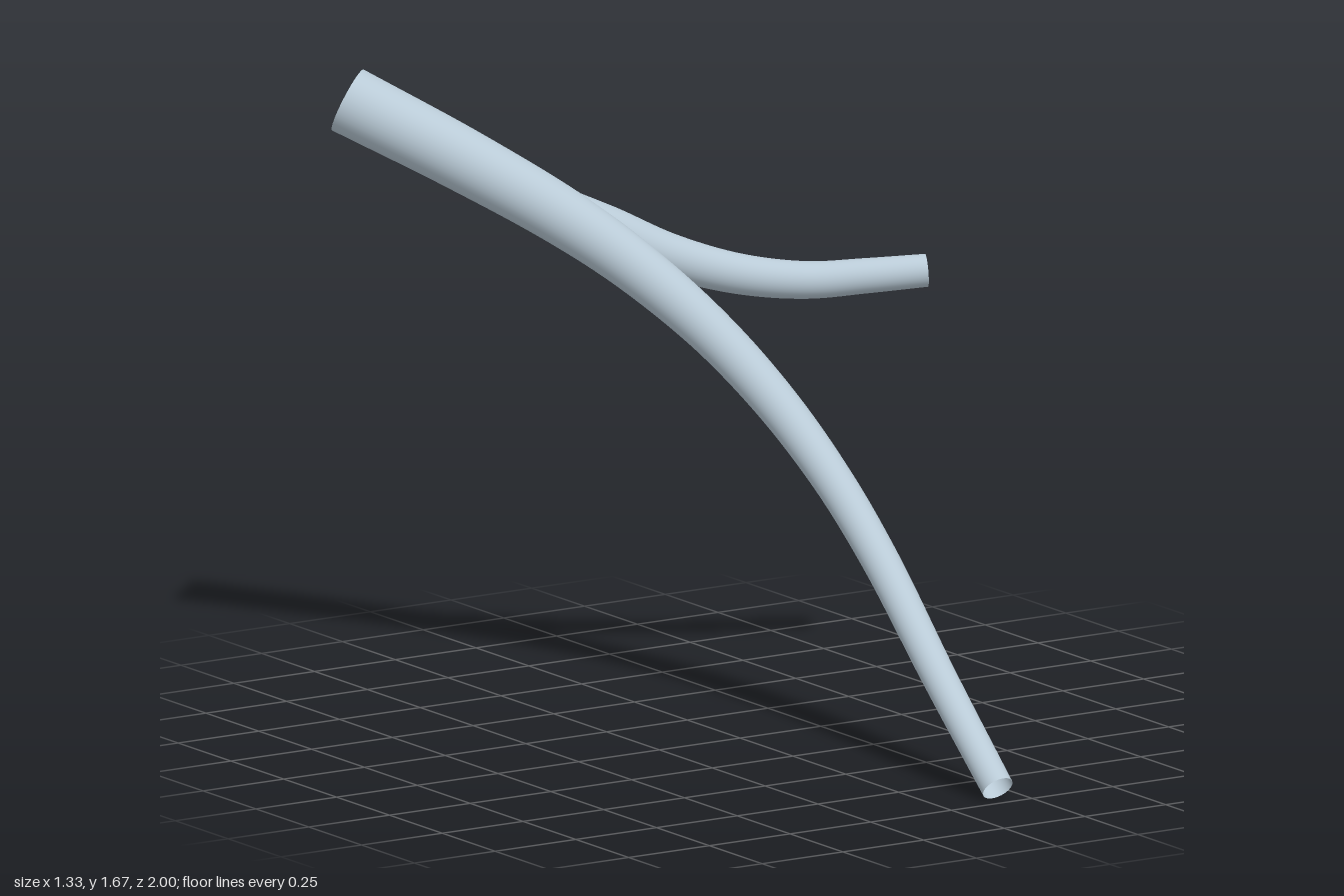
import * as THREE from 'three';

const paleBlueGrey = new THREE.MeshStandardMaterial({ color: 0xb9cad6, side: THREE.DoubleSide });
paleBlueGrey.name = 'paleBlueGrey';

// Open tube through rows of [x, y, z, radius], with the radius blended along the path
function taperedTube(name, rows, segments, sides) {
  const path = new THREE.CatmullRomCurve3(rows.map(([x, y, z]) => new THREE.Vector3(x, y, z)));
  const geometry = new THREE.TubeGeometry(path, segments, 1, sides, false);
  const position = geometry.attributes.position;
  const v = new THREE.Vector3();
  for (let i = 0; i <= segments; i++) {
    const u = i / segments;
    const centre = path.getPointAt(u);
    const t = path.getUtoTmapping(u) * (rows.length - 1);
    const k = Math.min(Math.floor(t), rows.length - 2);
    const radius = THREE.MathUtils.lerp(rows[k][3], rows[k + 1][3], t - k);
    for (let j = 0; j <= sides; j++) {
      const n = i * (sides + 1) + j;
      v.fromBufferAttribute(position, n).sub(centre).multiplyScalar(radius).add(centre);
      position.setXYZ(n, v.x, v.y, v.z);
    }
  }
  const mesh = new THREE.Mesh(geometry, paleBlueGrey);
  mesh.name = name;
  return mesh;
}

export function createModel() {
  const model = new THREE.Group();
  model.name = 'branchingTube';

  // Long trunk, wide at the upper back and narrow at the lower front
  model.add(taperedTube('mainTube', [
    [-0.60, 1.60, -0.94, 0.089],
    [-0.39, 1.457, -0.71, 0.083],
    [-0.21, 1.32, -0.51, 0.076],
    [-0.09, 1.205, -0.365, 0.069],
    [0.03, 1.05, -0.185, 0.062],
    [0.112, 0.885, 0, 0.057],
    [0.158, 0.71, 0.2, 0.052],
    [0.173, 0.535, 0.4, 0.049],
    [0.166, 0.28, 0.69, 0.045],
    [0.163, 0.04, 0.97, 0.042],
  ], 96, 40));

  // Side branch leaving the trunk and levelling out
  model.add(taperedTube('sideBranch', [
    [-0.20, 1.325, -0.52, 0.066],
    [-0.10, 1.28, -0.47, 0.063],
    [0.04, 1.21, -0.40, 0.058],
    [0.20, 1.157, -0.32, 0.053],
    [0.36, 1.135, -0.24, 0.049],
    [0.50, 1.142, -0.17, 0.046],
    [0.643, 1.152, -0.10, 0.043],
  ], 64, 40));

  return model;
}
